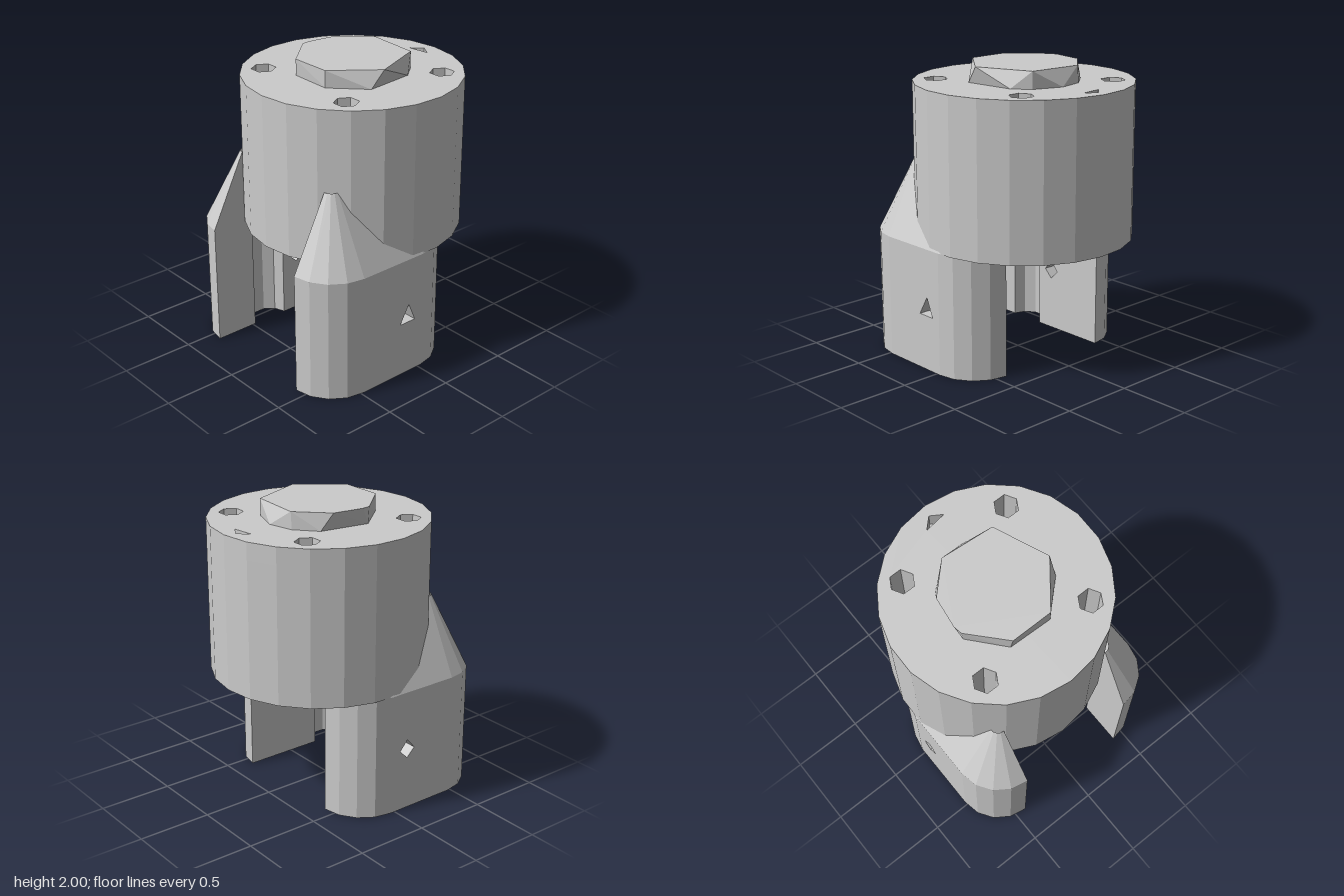
import * as THREE from 'three';
import { ConvexGeometry } from 'three/addons/geometries/ConvexGeometry.js';

const mat = new THREE.MeshStandardMaterial({ color: 0xcccccc, flatShading: true, side: THREE.DoubleSide });
const JAW_TOP = 0.84, BODY_TOP = 1.885, INNER = 0.42, R = 0.31;

function add(parent, name, geometry) {
  const mesh = new THREE.Mesh(geometry, mat);
  mesh.name = name;
  parent.add(mesh);
  return mesh;
}

const V = pts => pts.map(([x, y]) => new THREE.Vector2(x, y));

// Points on an arc, in plan (x, z)
function arc(cx, cz, r, a0, a1, n) {
  return Array.from({ length: n + 1 }, (_, i) => {
    const a = a0 + (a1 - a0) * i / n;
    return [cx + r * Math.cos(a), cz + r * Math.sin(a)];
  });
}

// Upright prism from a plan outline (x, z) between two heights
function prism(outline, y0, y1, holes = []) {
  const plan = pts => V(pts.map(([x, z]) => [x, -z]));
  const shape = new THREE.Shape(plan(outline));
  shape.holes = holes.map(h => new THREE.Path(plan(h)));
  const g = new THREE.ExtrudeGeometry(shape, { depth: y1 - y0, bevelEnabled: false });
  return g.rotateX(-Math.PI / 2).translate(0, y0, 0);
}

const polygon = (cx, cz, r, n, turn = 0) => arc(cx, cz, r, turn, turn + Math.PI * 2, n).slice(0, n);

// Round body, with bolt holes that widen at the bottom and a small blind pit on top
function makeBody() {
  const body = new THREE.Group();
  body.name = 'body';
  const rim = polygon(0.06, 0, 0.732, 22, 0.02);
  const bolts = r => [-0.35, 0.47].flatMap(x => [-0.41, 0.41].map(z => polygon(x, z, r, 6, Math.PI / 6)));
  const pit = [[0.65, -0.08], [0.72, -0.01], [0.67, 0.07]];
  add(body, 'bodyCounterbores', prism(rim, JAW_TOP, 1.0, bolts(0.125)));
  add(body, 'bodyMiddle', prism(rim, 1.0, BODY_TOP - 0.12, bolts(0.082)));
  add(body, 'bodyTop', prism(rim, BODY_TOP - 0.12, BODY_TOP, [...bolts(0.082), pit]));
  return body;
}

// Faceted boss on the top
function makeBoss(parent) {
  const upper = [[-0.29, -0.15], [-0.06, -0.36], [0, -0.37], [0.21, -0.34], [0.4, -0.15], [0.37, 0.22], [0, 0.37], [-0.29, 0.14]];
  const lower = [[-0.28, -0.16], [-0.06, -0.35], [0.28, -0.3], [0.4, -0.16], [0.44, 0.02], [0.37, 0.22], [0.26, 0.31], [-0.09, 0.35], [-0.29, 0.14]];
  const at = y => ([x, z]) => new THREE.Vector3(x, y, z);
  add(parent, 'boss', new ConvexGeometry([...upper.map(at(2)), ...lower.map(at(BODY_TOP))]));
}

// Sloping shoulder between jaw and body: the jaw outline drawn inwards as it rises
function makeShoulder() {
  const ring = inset => [
    ...arc(0.03, INNER, R - inset, 0, Math.PI / 2, 4),
    ...arc(-0.48, INNER, R - inset, Math.PI / 2, Math.PI, 4),
    [-0.5, INNER],
  ];
  const low = ring(0), high = ring(0.25), pos = [], index = [];
  low.forEach(([x, z], i) => pos.push(x, JAW_TOP, z, high[i][0], JAW_TOP + 0.5, high[i][1]));
  for (let i = 0; i < low.length - 1; i++) {
    const a = 2 * i;
    index.push(a, a + 1, a + 2, a + 1, a + 3, a + 2);
  }
  const g = new THREE.BufferGeometry();
  g.setAttribute('position', new THREE.Float32BufferAttribute(pos, 3));
  g.setIndex(index);
  g.computeVertexNormals();
  return g;
}

// One jaw on the +z side: rounded ends, inner groove, and a small cross hole
function makeJaw(name, hole) {
  const jaw = new THREE.Group();
  jaw.name = name;
  const x0 = -0.2, x1 = 0.03;
  const groove = arc(-0.35, INNER, 0.13, Math.PI, 0, 5);
  const left = [[x0, INNER], [x0, INNER + R], ...arc(-0.48, INNER, R, Math.PI / 2, Math.PI, 4), ...groove];
  const right = [[x1, INNER], ...arc(x1, INNER, R, 0, Math.PI / 2, 4)];
  add(jaw, 'groovedEnd', prism(left, 0, JAW_TOP));
  add(jaw, 'plainEnd', prism(right, 0, JAW_TOP));
  const block = new THREE.Shape(V([[x0, 0], [x1, 0], [x1, JAW_TOP], [x0, JAW_TOP]]));
  block.holes.push(new THREE.Path(V(hole)));
  const middle = new THREE.ExtrudeGeometry(block, { depth: R, bevelEnabled: false });
  add(jaw, 'drilledMiddle', middle.translate(0, 0, INNER));
  add(jaw, 'shoulder', makeShoulder());
  return jaw;
}

export function createModel() {
  const model = new THREE.Group();
  model.name = 'jawCoupling';
  model.add(makeBody());
  makeBoss(model);
  model.add(makeJaw('frontJaw', [[-0.165, 0.38], [-0.035, 0.38], [-0.09, 0.51]]));
  const back = makeJaw('backJaw', [[-0.16, 0.43], [-0.1, 0.37], [-0.04, 0.43], [-0.1, 0.5]]);
  back.scale.z = -1;
  model.add(back);
  return model;
}
